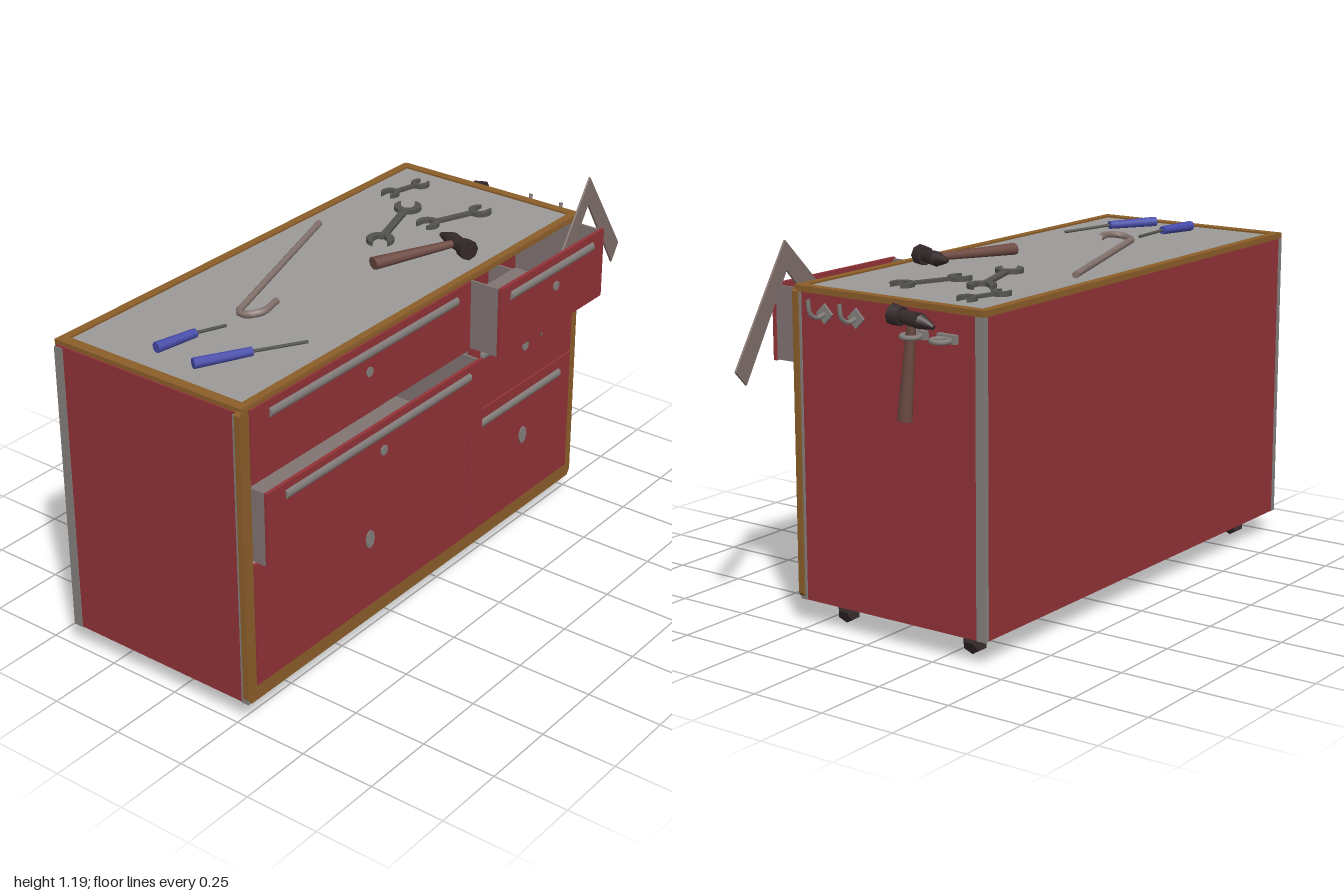
import * as THREE from 'three';

const mat = (name, color, side = THREE.FrontSide, flatShading = false) => {
  const m = new THREE.MeshStandardMaterial({ color, side, flatShading });
  m.name = name;
  return m;
};

export function createModel() {
  const root = new THREE.Group();
  root.name = 'toolCabinet';
  const red = mat('red paint', 0x923338);
  const ochre = mat('worn ochre edge', 0x8c5e2a);
  const worktop = mat('worktop steel', 0x9c9a98);
  const trim = mat('bare metal trim', 0x85807d);
  const inner = mat('drawer metal', 0x827573);
  const toolSteel = mat('dark tool steel', 0x53524f);
  const blue = mat('blue plastic', 0x474cab);
  const wood = mat('brown handle', 0x6d4a42);
  const dark = mat('blackened iron', 0x35292a);
  const rusty = mat('rusty steel', 0x85736e);

  const add = (name, geo, m, parent = root, x = 0, y = 0, z = 0) => {
    const mesh = new THREE.Mesh(geo, m);
    mesh.name = name;
    mesh.position.set(x, y, z);
    parent.add(mesh);
    return mesh;
  };
  // Box given by its minimum and maximum on each axis
  const box = (name, m, x0, x1, y0, y1, z0, z1, parent = root) =>
    add(name, new THREE.BoxGeometry(x1 - x0, y1 - y0, z1 - z0), m, parent,
      (x0 + x1) / 2, (y0 + y1) / 2, (z0 + z1) / 2);
  const group = (name, parent = root) => {
    const g = new THREE.Group();
    g.name = name;
    parent.add(g);
    return g;
  };

  // Cabinet shell, open underneath
  box('backPanel', red, -0.99, 0.7, 0.08, 1.05, -0.41, -0.4);
  for (const [x0, x1, out] of [[-0.995, -0.98, -0.998], [0.69, 0.705, 0.708]]) {
    box('sidePanel', red, x0, x1, 0.08, 1.05, -0.405, 0.275);
    for (const [z0, z1] of [[-0.412, -0.38], [0.268, 0.293]])
      box('cornerTrim', trim, Math.min(x0, out), Math.max(x1, out), 0.08, 1.045, z0, z1);
  }
  box('worktop', worktop, -0.96, 0.69, 1.045, 1.058, -0.39, 0.275);
  for (const [z0, z1] of [[-0.415, -0.387], [0.268, 0.294]])
    box('longRim', ochre, -0.99, 0.705, 1.045, 1.064, z0, z1);
  for (const [x0, x1] of [[-0.99, -0.955], [0.68, 0.71]])
    box('shortRim', ochre, x0, x1, 1.045, 1.064, -0.41, 0.29);

  // Front frame: outline with clipped corners and an opening
  const frame = new THREE.Shape([[-0.985, 0.08], [0.7, 0.08], [0.715, 0.1], [0.715, 1.045],
    [0.7, 1.06], [-0.985, 1.06], [-1, 1.045], [-1, 0.1]].map(p => new THREE.Vector2(...p)));
  frame.holes.push(new THREE.Path([[-0.96, 0.135], [-0.96, 1.05], [0.677, 1.05], [0.677, 0.135]]
    .map(p => new THREE.Vector2(...p))));
  add('frontFrame', new THREE.ExtrudeGeometry(frame, { depth: 0.02, bevelEnabled: false }), ochre, root, 0, 0, 0.276);
  box('columnDivider', inner, 0.084, 0.097, 0.135, 1.045, -0.03, 0.285);

  // Drawers: open tray, front panel, long pull and lock
  const drawer = (x0, x1, y0, y1, front, hx0, hx1, hy, lx, ly, lr) => {
    const g = group('drawer');
    const back = front - 0.33;
    box('drawerFront', red, x0, x1, y0, y1, front - 0.012, front, g);
    box('drawerFloor', inner, x0 + 0.005, x1 - 0.005, y0 + 0.003, y0 + 0.011, back, front - 0.012, g);
    for (const x of [x0 + 0.004, x1 - 0.012])
      box('drawerSide', inner, x, x + 0.008, y0 + 0.003, y1 - 0.004, back, front - 0.012, g);
    const bar = add('drawerPull', new THREE.CylinderGeometry(0.015, 0.015, hx1 - hx0, 8), trim, g,
      (hx0 + hx1) / 2, hy, front);
    bar.rotation.z = Math.PI / 2;
    bar.scale.z = 0.6;
    const lock = add('drawerLock', new THREE.CylinderGeometry(lr, lr, 0.006, 8), trim, g, lx, ly, front + 0.001);
    lock.rotation.x = Math.PI / 2;
    if (lr > 0.018) lock.scale.z = 1.5;
  };
  const rows = [
    [0.815, 1.05, 0.302, 0.812, 1.05, 0.41, 1.01, 0.95, 0.016],
    [0.555, 0.802, 0.355, 0.577, 0.815, 0.302, 0.765, 0.705, 0.017],
    [0.135, 0.548, 0.302, 0.135, 0.57, 0.302, 0.52, 0.375, 0.021]];
  for (const [a0, a1, af, b0, b1, bf, hy, ly, lr] of rows) {
    drawer(-0.96, 0.087, a0, a1, af, -0.88, 0.015, hy, -0.425, ly, lr);
    drawer(0.094, 0.676, b0, b1, bf, 0.145, 0.61, hy, 0.4, ly, lr);
  }

  // Low-poly casters
  const wheel = new THREE.DodecahedronGeometry(0.045, 0);
  for (const x of [-0.89, 0.615])
    for (const z of [0.18, -0.305]) {
      add('caster', wheel, dark, root, x, 0.041, z).scale.set(0.72, 0.95, 1);
      box('casterFork', dark, x - 0.02, x + 0.02, 0.06, 0.085, z - 0.022, z + 0.022);
    }

  // Rod between two points, with end radii
  const rod = (name, a, b, r0, r1, m, parent = root) => {
    const A = new THREE.Vector3(...a), B = new THREE.Vector3(...b);
    const d = B.clone().sub(A);
    const mesh = add(name, new THREE.CylinderGeometry(r1, r0, d.length(), 8), m, parent);
    mesh.position.copy(A).add(B).multiplyScalar(0.5);
    mesh.quaternion.setFromUnitVectors(new THREE.Vector3(0, 1, 0), d.normalize());
    return mesh;
  };

  // Screwdrivers
  for (const [a, b, c] of [[[-0.87, -0.127], [-0.73, -0.1], [-0.625, -0.075]],
    [[-0.88, 0.023], [-0.72, 0.107], [-0.56, 0.182]]]) {
    const g = group('screwdriver');
    const y = 1.076;
    rod('screwdriverHandle', [a[0], y, a[1]], [b[0], y, b[1]], 0.017, 0.014, blue, g);
    rod('screwdriverShaft', [b[0], y, b[1]], [c[0], y - 0.01, c[1]], 0.005, 0.005, toolSteel, g);
  }

  // Crowbar: straight shank and hooked claw
  const bar = group('crowbar');
  rod('crowbarShank', [0.115, 1.07, -0.318], [-0.53, 1.07, -0.105], 0.011, 0.011, rusty, bar);
  const hook = new THREE.CatmullRomCurve3([[-0.52, 1.07, -0.108], [-0.545, 1.072, -0.09],
    [-0.55, 1.078, -0.055], [-0.515, 1.084, -0.025], [-0.435, 1.084, -0.04]].map(p => new THREE.Vector3(...p)));
  add('crowbarClaw', new THREE.TubeGeometry(hook, 12, 0.012, 6), rusty, bar);

  // Open-ended wrenches
  const wrenchHead = (r) => {
    const s = new THREE.Shape();
    s.absarc(0, 0, r, 0.55, Math.PI * 2 - 0.55, false);
    s.lineTo(0, -r * 0.5);
    s.lineTo(-r * 0.4, -r * 0.25);
    s.lineTo(-r * 0.4, r * 0.25);
    s.lineTo(0, r * 0.5);
    return new THREE.ExtrudeGeometry(s, { depth: 0.014, bevelEnabled: false, curveSegments: 7 });
  };
  const wrench = (x0, z0, x1, z1, r) => {
    const g = group('wrench');
    const L = Math.hypot(x1 - x0, z1 - z0);
    g.position.set((x0 + x1) / 2, 1.058, (z0 + z1) / 2);
    g.rotation.y = -Math.atan2(z1 - z0, x1 - x0);
    add('wrenchShank', new THREE.BoxGeometry(L - r * 1.4, 0.01, r * 0.55), toolSteel, g, 0, 0.007, 0);
    for (const s of [-1, 1]) {
      const head = add('wrenchJaw', wrenchHead(r), toolSteel, g, s * L / 2, 0, 0);
      head.rotation.set(-Math.PI / 2, 0, (s > 0 ? 0 : Math.PI) + 0.3);
    }
  };
  wrench(0.14, -0.09, 0.4, -0.175, 0.045);
  wrench(0.335, -0.045, 0.52, 0.03, 0.038);
  wrench(0.46, -0.292, 0.585, -0.26, 0.031);

  // Hammer: handle hangs along -y, striking face points to +z
  const hammer = () => {
    const g = group('hammer');
    rod('hammerHandle', [0, -0.305, 0], [0, 0, 0], 0.026, 0.015, wood, g).scale.x = 0.75;
    rod('hammerFace', [0, 0, 0.035], [0, 0, 0.072], 0.03, 0.033, dark, g);
    rod('hammerBody', [0, 0, -0.03], [0, 0, 0.04], 0.025, 0.021, dark, g);
    rod('hammerPeen', [0, 0, -0.03], [0, -0.008, -0.08], 0.024, 0.007, dark, g);
    return g;
  };
  const hung = hammer();
  hung.position.set(0.742, 1.02, -0.18);
  hung.rotation.x = -0.1;
  const lying = hammer();
  lying.applyMatrix4(new THREE.Matrix4().makeBasis(new THREE.Vector3(0, -1, 0),
    new THREE.Vector3(0.93, 0, 0.37), new THREE.Vector3(-0.37, 0, 0.93)));
  lying.position.set(0.222, 1.091, 0.15);

  // Side rings that hold hammers
  for (const z of [-0.178, -0.285]) {
    add('hammerRing', new THREE.TorusGeometry(0.028, 0.008, 6, 14), trim, root, 0.745, 0.97, z).rotation.x = Math.PI / 2;
    box('ringPlate', trim, 0.703, 0.72, 0.957, 0.984, z - 0.034, z + 0.034);
  }

  // Side hooks on diamond plates
  for (const z of [0.175, 0.055]) {
    const plate = add('hookPlate', new THREE.BoxGeometry(0.008, 0.044, 0.044), trim, root, 0.708, 0.988, z);
    plate.rotation.x = Math.PI / 4;
    const curve = new THREE.CatmullRomCurve3([[0.708, 0.988, z], [0.745, 0.982, z], [0.775, 1.0, z], [0.783, 1.045, z]]
      .map(p => new THREE.Vector3(...p)));
    add('hook', new THREE.TubeGeometry(curve, 8, 0.007, 6), trim);
  }

  // Carpenter's square leaning out of the open drawer
  const sq = new THREE.Shape([[0, 0], [-0.415, -0.345], [-0.365, -0.41], [-0.006, -0.092],
    [0.236, -0.395], [0.292, -0.345]].map(p => new THREE.Vector2(...p)));
  const square = add('carpenterSquare', new THREE.ExtrudeGeometry(sq, { depth: 0.006, bevelEnabled: false }),
    rusty, root, 0.71, 1.195, 0.322);
  square.rotation.y = 0.184;

  return root;
}
